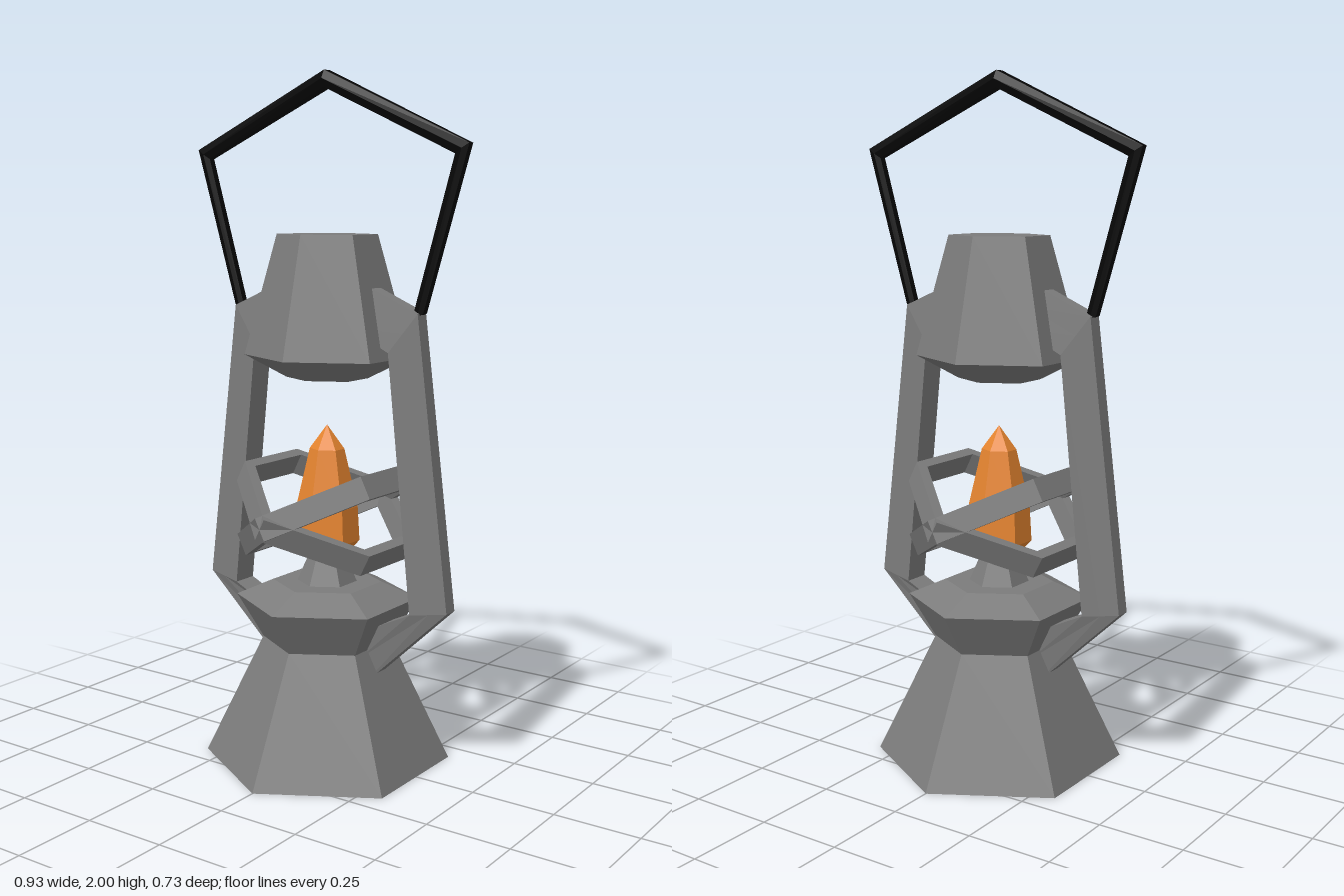
import * as THREE from 'three';

const metal = new THREE.MeshStandardMaterial({ color: 0x7c7c7c });
metal.name = 'grey metal';
const black = new THREE.MeshStandardMaterial({ color: 0x060606 });
black.name = 'black wire';
const orange = new THREE.MeshStandardMaterial({ color: 0xe88630 });
orange.name = 'orange flame';

// Faceted mesh
function part(name, geometry, material) {
  const g = geometry.index ? geometry.toNonIndexed() : geometry;
  g.computeVertexNormals();
  const mesh = new THREE.Mesh(g, material);
  mesh.name = name;
  return mesh;
}

// Six-sided turned solid with corners on the z axis; sx stretches it in x
function hexLathe(name, profile, material, sx = 1) {
  const points = profile.map(([r, y]) => new THREE.Vector2(r, y));
  return part(name, new THREE.LatheGeometry(points, 6).scale(sx, 1, 1), material);
}

// Bar through stations [outerX, outerY, innerX, innerY, outer, middle and inner half width]
function bar(name, stations, material) {
  const pos = [], index = [];
  for (const [ox, oy, ix, iy, wo, wm, wi] of stations) {
    const mx = (ox + ix) / 2, my = (oy + iy) / 2;
    pos.push(ox, oy, wo, mx, my, wm, ix, iy, wi, ix, iy, -wi, mx, my, -wm, ox, oy, -wo);
  }
  const last = (stations.length - 1) * 6;
  for (let s = 0; s < last; s += 6) {
    for (let k = 0; k < 6; k++) {
      const a = s + k, b = s + (k + 1) % 6;
      index.push(a, a + 6, b + 6, a, b + 6, b);
    }
  }
  for (let k = 1; k < 5; k++) {
    index.push(0, k, k + 1, last, last + k + 1, last + k);
  }
  const g = new THREE.BufferGeometry();
  g.setAttribute('position', new THREE.Float32BufferAttribute(pos, 3));
  g.setIndex(index);
  return part(name, g, material);
}

// Stretched hexagon outline for the guard rings
function hexOutline(x, zCorner, zTip) {
  return [[0, zTip], [-x, zCorner], [-x, -zCorner], [0, -zTip], [x, -zCorner], [x, zCorner]]
    .map(([a, b]) => new THREE.Vector2(a, b));
}

export function createModel() {
  const lantern = new THREE.Group();
  lantern.name = 'lantern';

  // Flared foot, waist and collar
  lantern.add(hexLathe('base', [
    [0, 0], [0.363, 0], [0.19, 0.36], [0.268, 0.488], [0.16, 0.535], [0, 0.535],
  ], metal));
  lantern.add(hexLathe('burner', [[0.09, 0.53], [0.055, 0.61], [0, 0.61]], metal));

  // Flame
  lantern.add(hexLathe('flame', [
    [0, 0.61], [0.045, 0.61], [0.085, 0.66], [0.08, 0.76], [0.045, 0.93], [0, 1],
  ], orange, 1.17));

  // Chimney cap
  lantern.add(hexLathe('cap', [
    [0, 1.137], [0.105, 1.137], [0.213, 1.2], [0.128, 1.547], [0, 1.547],
  ], metal, 1.18));

  // Two crossed guard rings around the flame
  for (const tilt of [1, -1]) {
    const shape = new THREE.Shape(hexOutline(0.245, 0.128, 0.322));
    shape.holes.push(new THREE.Path(hexOutline(0.215, 0.113, 0.283)));
    const g = new THREE.ExtrudeGeometry(shape, { depth: 0.068, bevelEnabled: false });
    g.translate(0, 0, -0.034).rotateX(Math.PI / 2);
    const ring = part('guardRing', g, metal);
    ring.position.y = 0.748;
    ring.rotation.z = tilt * 0.47;
    lantern.add(ring);
  }

  // Side frames, narrower on the outside
  for (const side of ['left', 'right']) {
    const frame = bar(side + 'Frame', [
      [0.15, 0.255, 0.12, 0.4, 0.022, 0.031, 0.04],
      [0.42, 0.507, 0.31, 0.49, 0.022, 0.031, 0.04],
      [0.317, 1.335, 0.233, 1.225, 0.022, 0.031, 0.04],
      [0.12, 1.42, 0.1, 1.29, 0.022, 0.031, 0.04],
    ], metal);
    if (side === 'right') frame.rotation.y = Math.PI;
    lantern.add(frame);
  }

  // Carrying handle, thickest at its peak
  const half = [
    [0.327, 1.335, 0.292, 1.32, 0.01, 0.014, 0.01],
    [0.463, 1.79, 0.42, 1.763, 0.01, 0.015, 0.01],
  ];
  const mirrored = half.map(([ox, oy, ix, iy, ...w]) => [-ox, oy, -ix, iy, ...w]).reverse();
  lantern.add(bar('handle', [
    ...half, [0, 2, 0, 1.953, 0.015, 0.028, 0.018], ...mirrored,
  ], black));

  return lantern;
}
